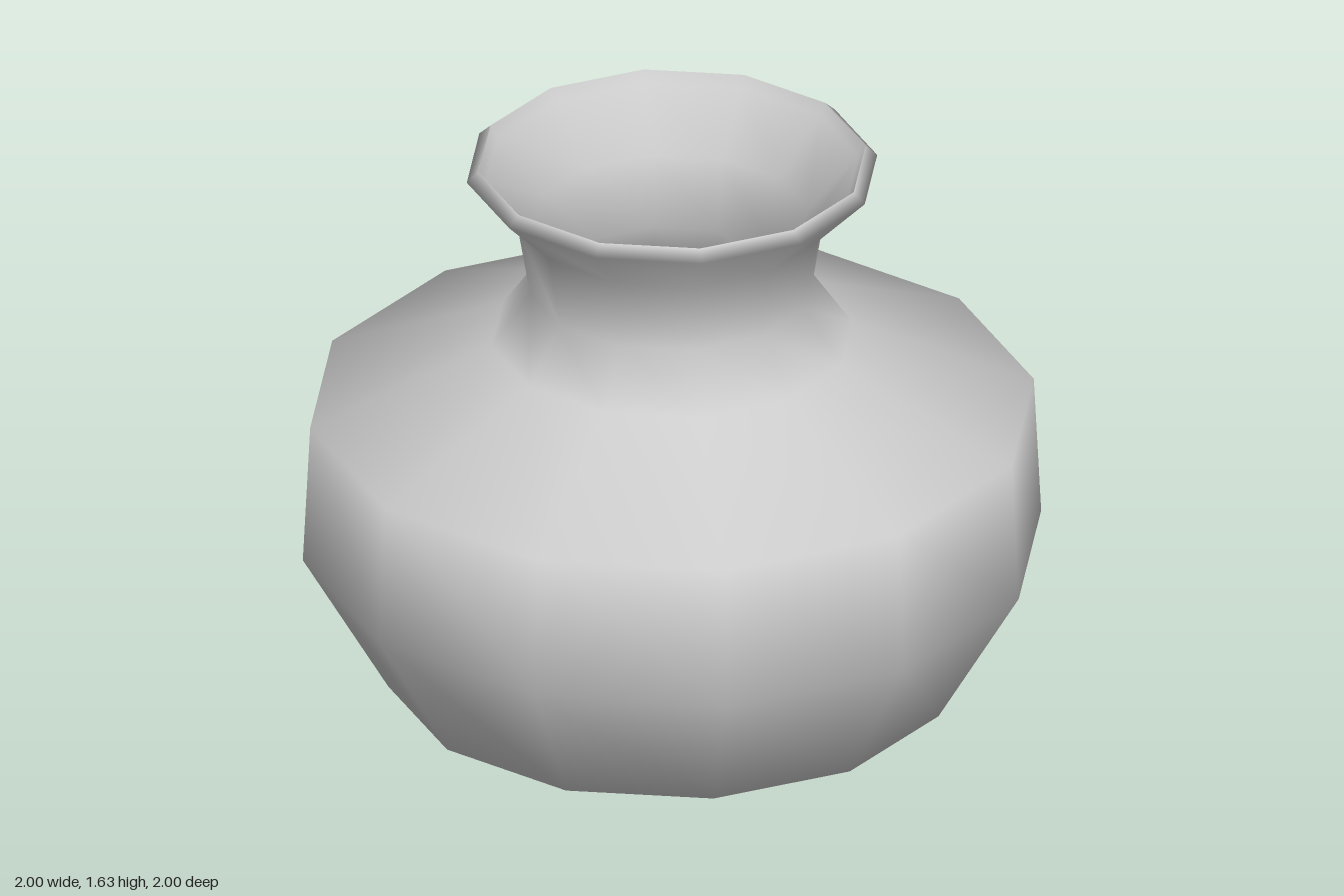
import * as THREE from 'three';

const SIDES = 12;
const TURN = THREE.MathUtils.degToRad(-4);

export function createModel() {
  const group = new THREE.Group();
  group.name = 'vase';
  const material = new THREE.MeshStandardMaterial({ color: 0xcccccc });

  // Revolves a [radius, height] profile into a 12-sided, smooth-shaded shell
  const addShell = (name, profile) => {
    const points = profile.map(([r, y]) => new THREE.Vector2(r, y));
    const mesh = new THREE.Mesh(new THREE.LatheGeometry(points, SIDES, TURN), material);
    mesh.name = name;
    group.add(mesh);
  };

  // Base, belly, shoulder, neck and flared lip
  addShell('outerWall', [
    [0, 0], [0.48, 0], [0.555, 0.005], [0.77, 0.09], [1.002, 0.49], [0.982, 0.89],
    [0.49, 1.1], [0.385, 1.25], [0.42, 1.46], [0.557, 1.6], [0.525, 1.63],
  ]);

  // Hollow inside, from the lip down to the floor
  addShell('innerWall', [
    [0.525, 1.63], [0.505, 1.6], [0.37, 1.45], [0.335, 1.25], [0.44, 1.06],
    [0.93, 0.85], [0.95, 0.5], [0.73, 0.13], [0.53, 0.05], [0.45, 0.05], [0, 0.05],
  ]);

  return group;
}
